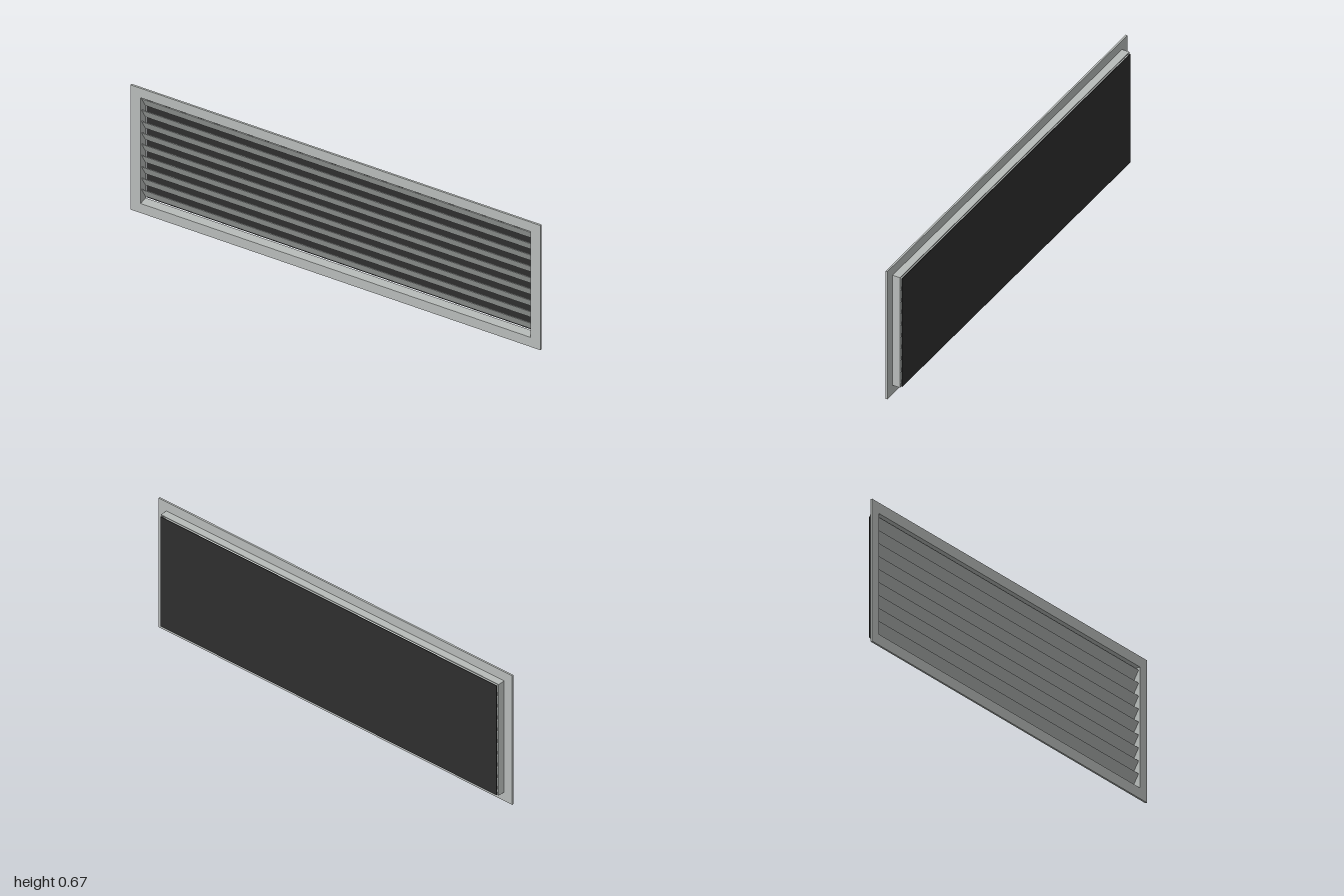
import * as THREE from 'three';

const CY = 0.3335; // height of the centre line

// Rectangular ring extruded from z0 to z1
function ring(outerW, outerH, innerW, innerH, z0, z1) {
  const rect = (P, w, h) => new P([
    new THREE.Vector2(-w / 2, -h / 2), new THREE.Vector2(w / 2, -h / 2),
    new THREE.Vector2(w / 2, h / 2), new THREE.Vector2(-w / 2, h / 2),
  ]);
  const shape = rect(THREE.Shape, outerW, outerH);
  shape.holes.push(rect(THREE.Path, innerW, innerH));
  const geo = new THREE.ExtrudeGeometry(shape, { depth: z1 - z0, bevelEnabled: false });
  return geo.translate(0, CY, z0);
}

export function createModel() {
  const metal = new THREE.MeshStandardMaterial({ color: 0xb8bcba });
  metal.name = 'light grey metal';
  const dark = new THREE.MeshStandardMaterial({ color: 0x2e2e2e });
  dark.name = 'dark mesh';

  const model = new THREE.Group();
  model.name = 'ventGrille';
  const add = (name, geo, mat, parent = model) => {
    const mesh = new THREE.Mesh(geo, mat);
    mesh.name = name;
    parent.add(mesh);
    return mesh;
  };

  // Flat front flange and the collar behind it
  add('flange', ring(2, 0.667, 1.9, 0.566, 0.018, 0.0267), metal);
  add('collar', ring(1.911, 0.575, 1.9, 0.566, -0.018, 0.018), metal);

  // Nine slats leaning forward at the top
  const slats = new THREE.Group();
  slats.name = 'slats';
  model.add(slats);
  const slatGeo = new THREE.BoxGeometry(1.9, 0.068, 0.003);
  for (let i = -4; i <= 4; i++) {
    const slat = add('slat', slatGeo, metal, slats);
    slat.position.set(0, CY + i * 0.0607, 0);
    slat.rotation.x = Math.PI / 6;
  }

  // Dark screen set just behind the collar
  const screen = add('backScreen', new THREE.BoxGeometry(1.9, 0.566, 0.003), dark);
  screen.position.set(0, CY, -0.0252);

  return model;
}
